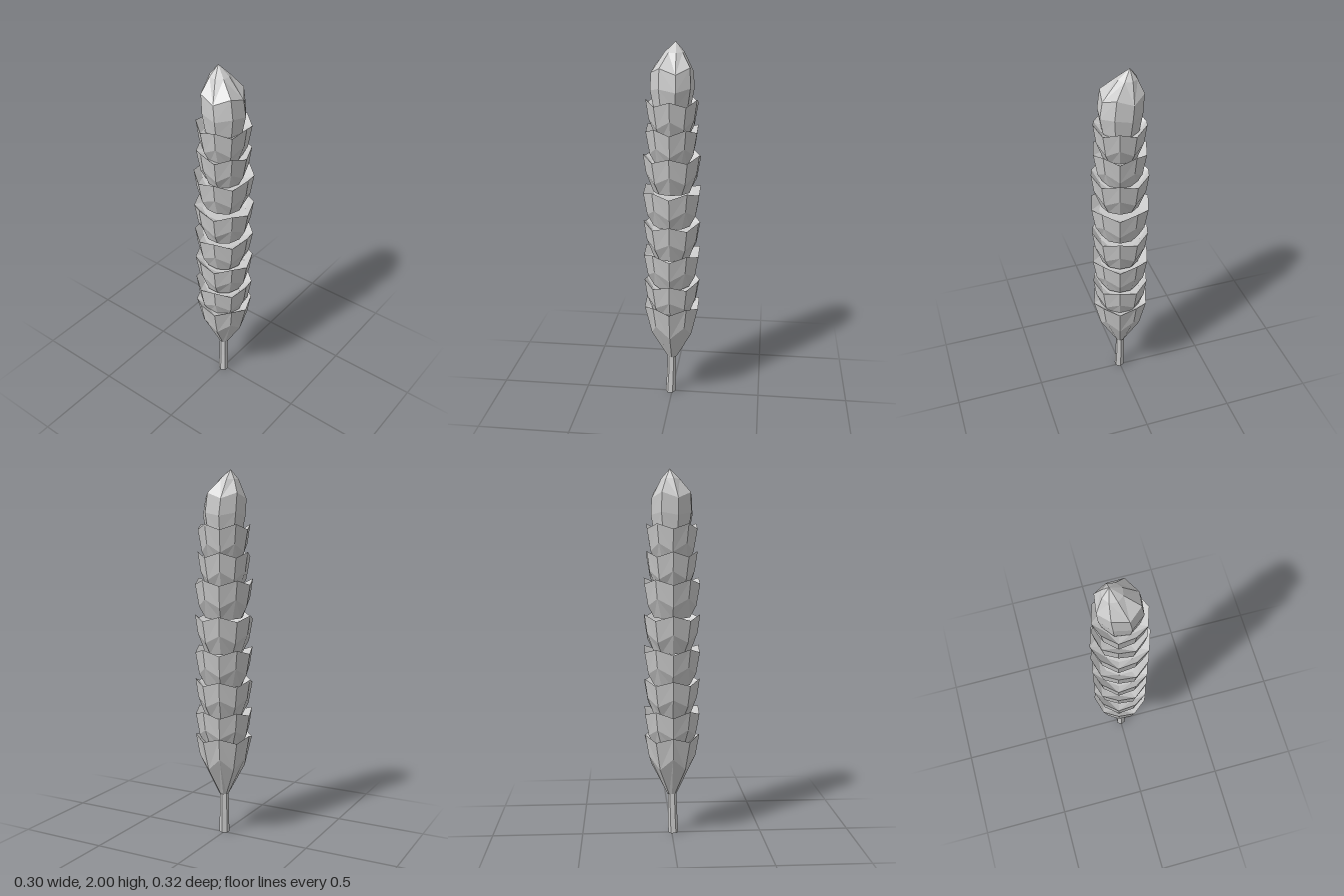
import * as THREE from 'three';

const material = new THREE.MeshStandardMaterial({ color: 0xcccccc, flatShading: true, side: THREE.DoubleSide });

// Lofts rings { y, r, jag, bulge, x, z } listed from bottom to top.
// jag and bulge raise / widen every second corner and lower / narrow the others.
function loft(name, rings, sides, turn = 0) {
  const positions = [];
  const index = [];
  rings.forEach(({ y, r, jag = 0, bulge = 0, x = 0, z = 0 }) => {
    for (let i = 0; i < sides; i++) {
      const a = turn + (i / sides) * Math.PI * 2;
      const sign = i % 2 ? 1 : -1;
      const radius = r + sign * bulge;
      positions.push(x + Math.sin(a) * radius, y + sign * jag, z + Math.cos(a) * radius);
    }
  });
  for (let k = 0; k < rings.length - 1; k++) {
    for (let i = 0; i < sides; i++) {
      const j = (i + 1) % sides;
      const a = k * sides + i, b = k * sides + j;
      const c = b + sides, d = a + sides;
      // Split each quad so that the petals crease along their middles
      if (i % 2) index.push(a, b, d, b, c, d);
      else index.push(a, b, c, a, c, d);
    }
  }
  const geometry = new THREE.BufferGeometry();
  geometry.setAttribute('position', new THREE.Float32BufferAttribute(positions, 3));
  geometry.setIndex(index);
  const flat = geometry.toNonIndexed();
  flat.computeVertexNormals();
  const mesh = new THREE.Mesh(flat, material);
  mesh.name = name;
  return mesh;
}

export function createModel() {
  const model = new THREE.Group();
  model.name = 'flowerSpike';

  // Slightly bent stem with a closed foot
  model.add(loft('stem', [
    { y: 0, r: 0.001, x: -0.009, z: 0.003 },
    { y: 0, r: 0.028, x: -0.009, z: 0.003 },
    { y: 0.12, r: 0.026, x: -0.004 },
    { y: 0.25, r: 0.024, x: -0.002 },
  ], 6, 0.5));

  // Funnel-shaped lowest cup
  model.add(loft('baseCup', [
    { y: 0.23, r: 0.001 },
    { y: 0.23, r: 0.027 },
    { y: 0.425, r: 0.126, jag: 0.035, bulge: 0.009 },
    { y: 0.565, r: 0.156, jag: 0.014 },
    { y: 0.53, r: 0.1 },
    { y: 0.52, r: 0.001 },
  ], 10));

  // Stacked whorls of five creased petals, each turned half a petal
  const whorls = new THREE.Group();
  whorls.name = 'petalWhorls';
  const tops = [[0.72, 0.156], [0.89, 0.157], [1.06, 0.157], [1.24, 0.158], [1.43, 0.157], [1.575, 0.142], [1.72, 0.141]];
  tops.forEach(([top, r], n) => {
    whorls.add(loft(`petalWhorl${n + 1}`, [
      { y: top - 0.22, r: 0.001 },
      { y: top - 0.21, r: r - 0.055 },
      { y: top - 0.125, r: r - 0.018, jag: 0.022, bulge: 0.003 },
      { y: top - 0.015, r, jag: 0.014 },
      { y: top - 0.05, r: r - 0.045 },
      { y: top - 0.06, r: 0.001 },
    ], 10, (n + 1) * Math.PI / 5));
  });
  model.add(whorls);

  // Closed bud with an off-centre point
  model.add(loft('tipBud', [
    { y: 1.6, r: 0.07 },
    { y: 1.68, r: 0.1 },
    { y: 1.77, r: 0.116, jag: 0.008 },
    { y: 1.865, r: 0.112, jag: 0.015, z: -0.01 },
    { y: 1.95, r: 0.052, x: 0.008, z: -0.033 },
    { y: 2, r: 0.001, x: 0.013, z: -0.045 },
  ], 8, 0.25));

  return model;
}
